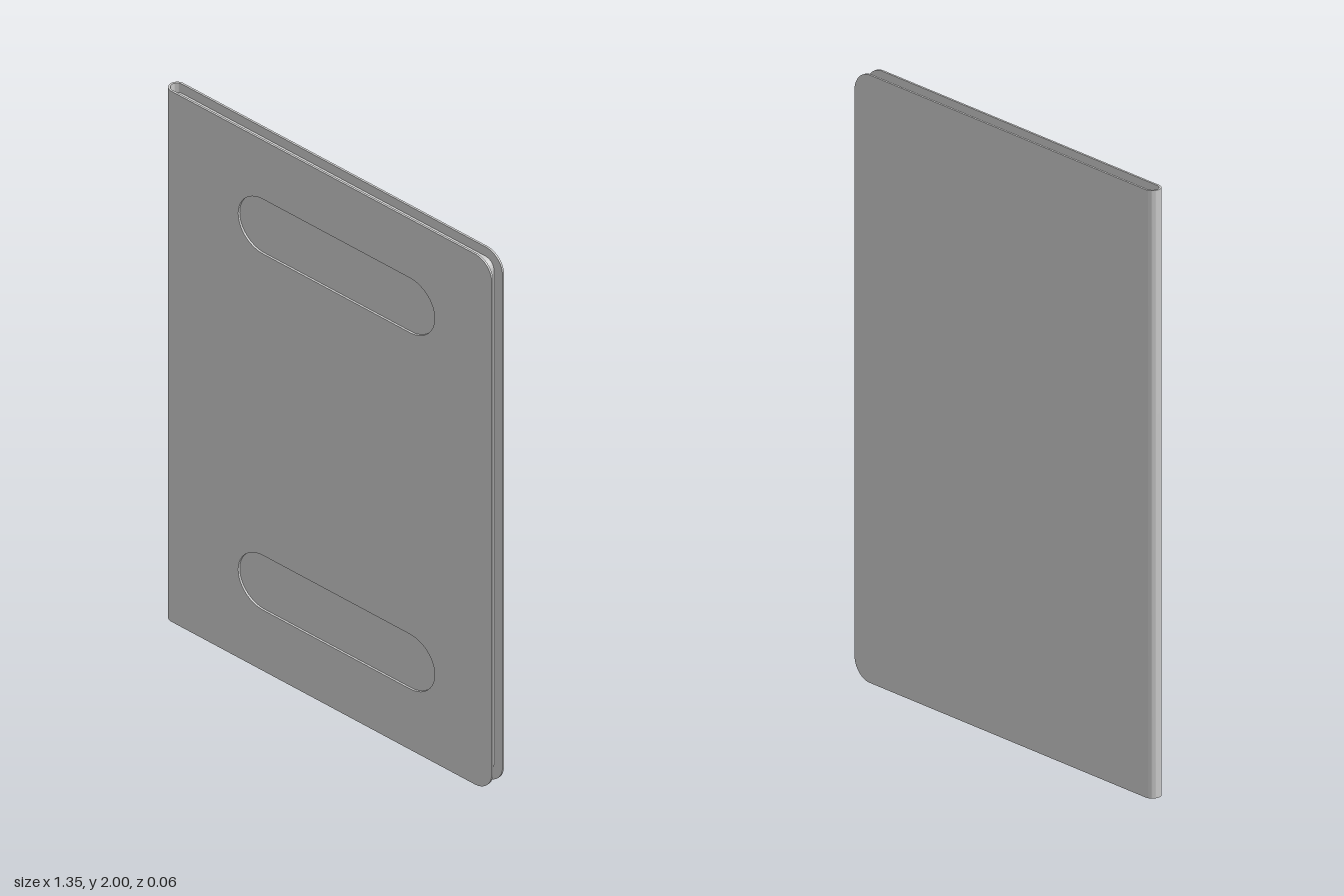
import * as THREE from 'three';
import { toCreasedNormals } from 'three/addons/utils/BufferGeometryUtils.js';

const H = 2, W = 0.675;          // height, half width
const R = 0.028, T = 0.007;      // half thickness, cover thickness
const SPINE_X = -W + R;          // axis of the rounded spine
const INSET = 0.035;             // pages sit back from the cover edges

const material = new THREE.MeshStandardMaterial({ color: 0xcccccc });

function addMesh(parent, name, geometry) {
  const mesh = new THREE.Mesh(geometry, material);
  mesh.name = name;
  parent.add(mesh);
  return mesh;
}

// Sheet outline, square at the spine and rounded at the two outer corners
function sheetShape(x0, x1, y0, y1, r) {
  const s = new THREE.Shape();
  s.moveTo(x0, y0);
  s.lineTo(x1 - r, y0);
  s.absarc(x1 - r, y0 + r, r, -Math.PI / 2, 0, false);
  s.absarc(x1 - r, y1 - r, r, 0, Math.PI / 2, false);
  s.lineTo(x0, y1);
  s.closePath();
  return s;
}

// Horizontal slot with fully round ends
function slotPath(x0, x1, y, r) {
  const p = new THREE.Path();
  p.absarc(x0 + r, y, r, Math.PI / 2, Math.PI * 1.5, false);
  p.absarc(x1 - r, y, r, -Math.PI / 2, Math.PI / 2, false);
  p.closePath();
  return p;
}

function extrude(shape, depth) {
  const g = new THREE.ExtrudeGeometry(shape, { depth, bevelEnabled: false, curveSegments: 20 });
  return toCreasedNormals(g, 0.6);
}

export function createModel() {
  const book = new THREE.Group();
  book.name = 'notebook';

  // Covers: the front one has two slots that show the pages
  const front = sheetShape(SPINE_X, W, 0, H, 0.07);
  for (const y of [0.332, 1.675]) front.holes.push(slotPath(-0.37, 0.44, y, 0.103));
  addMesh(book, 'frontCover', extrude(front, T)).position.z = R - T;
  const back = sheetShape(SPINE_X, W, 0, H, 0.07);
  addMesh(book, 'backCover', extrude(back, T)).position.z = -R;

  // Spine: half ring swept up the full height
  const ring = new THREE.Shape();
  ring.absarc(0, 0, R, Math.PI / 2, Math.PI * 1.5, false);
  ring.absarc(0, 0, R - T, Math.PI * 1.5, Math.PI / 2, true);
  ring.closePath();
  const spine = addMesh(book, 'spine', extrude(ring, H).rotateX(-Math.PI / 2));
  spine.position.x = SPINE_X;

  // Page block, with a round back that fills the spine
  const pages = new THREE.Group();
  pages.name = 'pages';
  book.add(pages);
  const r = R - T;
  const block = sheetShape(SPINE_X, W - INSET, INSET, H - INSET, 0.035);
  addMesh(pages, 'pageBlock', extrude(block, 2 * r)).position.z = -r;
  const roundBack = new THREE.CylinderGeometry(r, r, H - 2 * INSET, 20, 1, false, Math.PI, Math.PI);
  addMesh(pages, 'pageBack', roundBack).position.set(SPINE_X, H / 2, 0);

  return book;
}
